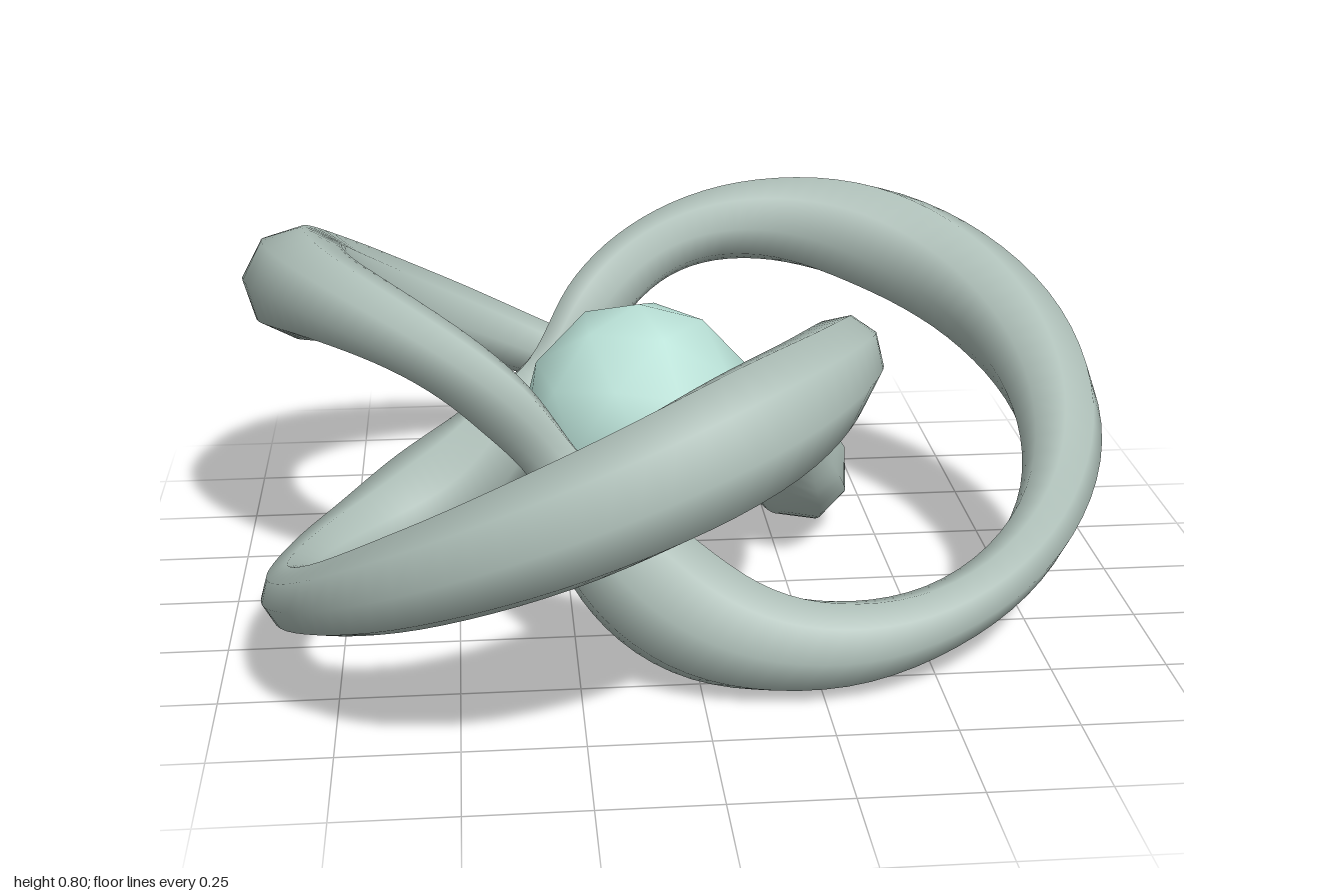
import * as THREE from 'three';

const CENTRE = new THREE.Vector3(-0.085, 0.406, -0.03);
const SEGMENTS = 240;
const SIDES = 8;

// Tube radius at every 30 degrees of one lobe, starting at its innermost point
const SWELL = [0.044, 0.094, 0.123, 0.097, 0.07, 0.073, 0.1, 0.124, 0.13, 0.1, 0.074, 0.058];

function radiusAt(t) {
  const n = SWELL.length;
  const s = ((t / (Math.PI * 2)) % 1) * n;
  const i = Math.floor(s), f = s - i;
  const [a, b, c, d] = [-1, 0, 1, 2].map((k) => SWELL[(i + k + n) % n]);
  return b + 0.5 * f * (c - a + f * (2 * a - 5 * b + 4 * c - d + f * (3 * (b - c) + d - a)));
}

// Centre line of the three-lobed knot: two turns round, three lobes
function knotPoint(angle) {
  const t = angle * 1.5;
  const r = 0.666 - 0.287 * Math.cos(t);
  return new THREE.Vector3(r * Math.cos(angle), -0.297 * Math.sin(t), -r * Math.sin(angle));
}

// Closed eight-sided tube of changing thickness
function knotGeometry() {
  const positions = [], index = [];
  for (let i = 0; i < SEGMENTS; i++) {
    const angle = (i / SEGMENTS) * Math.PI * 4;
    const p = knotPoint(angle);
    const tangent = knotPoint(angle + 0.01).sub(knotPoint(angle - 0.01)).normalize();
    const out = new THREE.Vector3(Math.cos(angle), 0, -Math.sin(angle));
    out.addScaledVector(tangent, -out.dot(tangent)).normalize();
    const side = new THREE.Vector3().crossVectors(tangent, out);
    const radius = radiusAt(angle * 1.5);
    // The section is taller than wide where the tube passes the ball
    const tall = 1 + 0.65 * Math.max(0, Math.cos(angle * 1.5)) ** 3;
    for (let j = 0; j < SIDES; j++) {
      const v = (j / SIDES) * Math.PI * 2;
      const q = p.clone()
        .addScaledVector(out, radius * Math.cos(v))
        .addScaledVector(side, radius * tall * Math.sin(v));
      positions.push(q.x, q.y, q.z);
      const i2 = (i + 1) % SEGMENTS, j2 = (j + 1) % SIDES;
      const a = i * SIDES + j, b = i2 * SIDES + j;
      const c = i * SIDES + j2, d = i2 * SIDES + j2;
      index.push(a, c, b, b, c, d);
    }
  }
  const geometry = new THREE.BufferGeometry();
  geometry.setAttribute('position', new THREE.Float32BufferAttribute(positions, 3));
  geometry.setIndex(index);
  geometry.computeVertexNormals();
  return geometry;
}

export function createModel() {
  const greyGreen = new THREE.MeshStandardMaterial({ color: 0xaebfb8 });
  greyGreen.name = 'greyGreen';
  const paleMint = new THREE.MeshStandardMaterial({ color: 0xbae1d7 });
  paleMint.name = 'paleMint';

  const group = new THREE.Group();
  group.name = 'knotSculpture';

  const knot = new THREE.Mesh(knotGeometry(), greyGreen);
  knot.name = 'knot';
  knot.position.copy(CENTRE);

  // Coarse ball in the middle, with a corner pointing straight up
  const ballGeometry = new THREE.IcosahedronGeometry(0.27, 1);
  ballGeometry.rotateX(-Math.atan2((1 + Math.sqrt(5)) / 2, 1));
  ballGeometry.rotateY(Math.PI / 2);
  const ball = new THREE.Mesh(ballGeometry, paleMint);
  ball.name = 'centreBall';
  ball.position.copy(CENTRE);

  group.add(knot, ball);
  return group;
}
